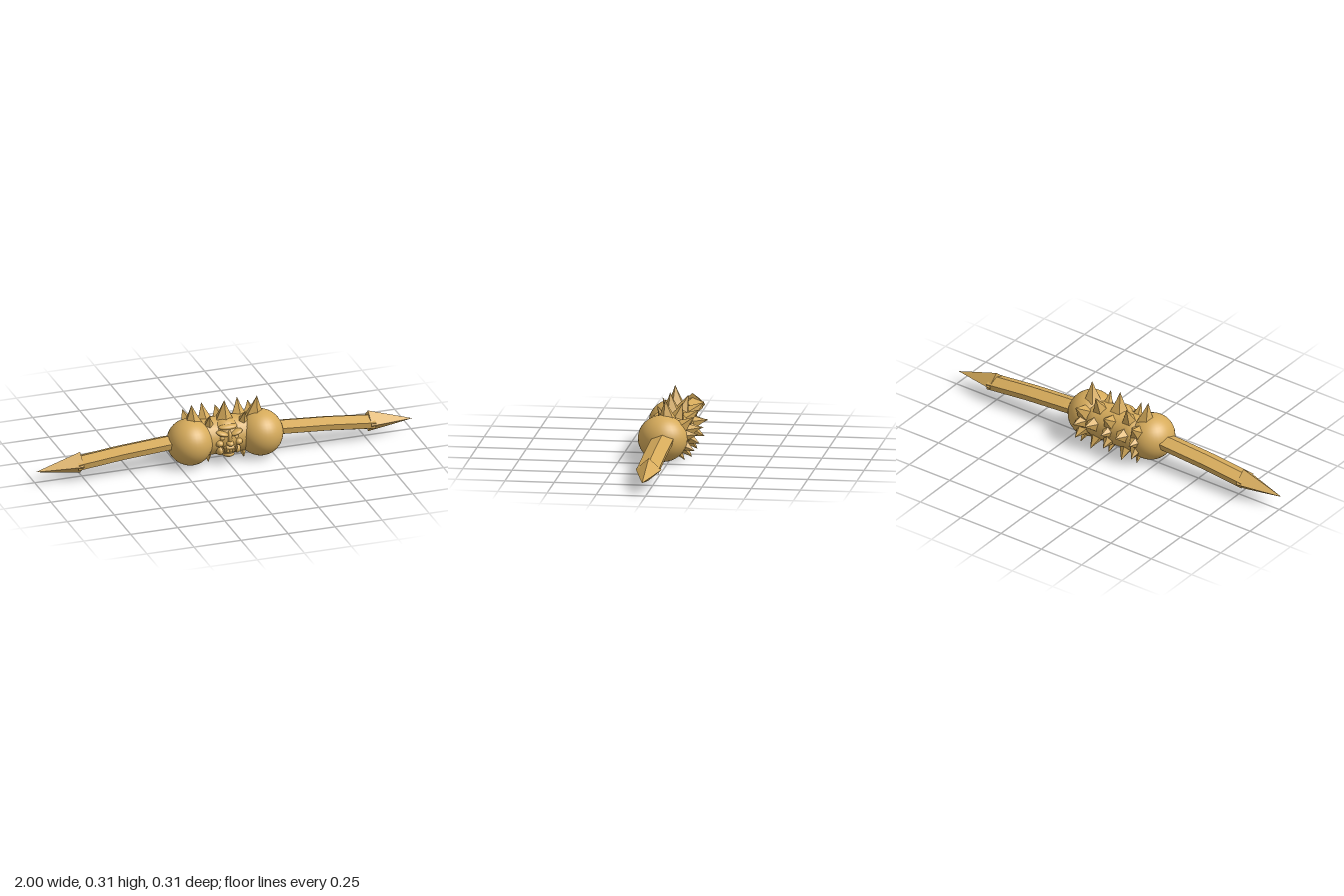
import * as THREE from 'three';

const gold = new THREE.MeshStandardMaterial({ color: 0xd6ab5b });
gold.name = 'ochre gold';

// Flat facets without touching the material
function facet(geometry) {
  const g = geometry.index ? geometry.toNonIndexed() : geometry;
  g.computeVertexNormals();
  return g;
}

function add(parent, name, geometry, x = 0, y = 0, z = 0) {
  const mesh = new THREE.Mesh(geometry, gold);
  mesh.name = name;
  mesh.position.set(x, y, z);
  parent.add(mesh);
  return mesh;
}

// Joins cross-sections along x; each is { x, y, s } scaling one (y, z) outline
function loft(outline, sections) {
  const pos = [], index = [], n = outline.length;
  for (const { x, y, s } of sections)
    for (const [py, pz] of outline) pos.push(x, y + py * s, pz * s);
  for (let i = 0; i < sections.length - 1; i++)
    for (let j = 0; j < n; j++) {
      const a = i * n + j, b = i * n + (j + 1) % n;
      index.push(a, b, b + n, a, b + n, a + n);
    }
  for (let j = 1; j < n - 1; j++) index.push(0, j + 1, j);
  const g = new THREE.BufferGeometry();
  g.setAttribute('position', new THREE.Float32BufferAttribute(pos, 3));
  g.setIndex(index);
  return facet(g);
}

function ball(parent, name, x, y, z, rx, ry, rz, tilt = 0) {
  const m = add(parent, name, new THREE.SphereGeometry(1, 32, 22), x, y, z);
  m.scale.set(rx, ry, rz);
  m.rotation.z = tilt;
  return m;
}

// Drooping ridged shaft with a four-sided spearhead
function makeArm() {
  const arm = new THREE.Group();
  const ridge = [[0.034, 0], [0.012, 0.056], [-0.02, 0.05], [-0.034, 0.02],
    [-0.034, -0.02], [-0.02, -0.05], [0.012, -0.056]];
  add(arm, 'shaft', loft(ridge, [
    { x: 0.24, y: 0.133, s: 0.95 }, { x: 0.32, y: 0.129, s: 1 },
    { x: 0.55, y: 0.113, s: 1 }, { x: 0.79, y: 0.088, s: 1 }]));
  const diamond = [[0.057, 0], [0, 0.066], [-0.057, 0], [0, -0.066]];
  add(arm, 'spearhead', loft(diamond, [
    { x: 0.765, y: 0.091, s: 1 }, { x: 0.88, y: 0.081, s: 0.52 }, { x: 1, y: 0.071, s: 0.002 }]));
  return arm;
}

// Concave thorn from the body axis out to its tip
function thorn(parent, x, y, z, radius) {
  const tip = new THREE.Vector3(x, y, z);
  const root = new THREE.Vector3(x * 0.9, 0.125, 0.005).lerp(tip, 0.45);
  const dir = tip.clone().sub(root), h = dir.length();
  const profile = [[1, 0], [0.72, 0.25], [0.36, 0.6], [0, 1]]
    .map(([r, t]) => new THREE.Vector2(r * radius, t * h));
  const m = add(parent, 'thorn', facet(new THREE.LatheGeometry(profile, 5)), root.x, root.y, root.z);
  m.quaternion.setFromUnitVectors(new THREE.Vector3(0, 1, 0), dir.normalize());
}

export function createModel() {
  const model = new THREE.Group();
  model.name = 'thornedBody';

  // Core between the shoulders
  const core = add(model, 'core', new THREE.CapsuleGeometry(0.096, 0.2, 8, 24), 0, 0.128, 0.003);
  core.rotation.z = Math.PI / 2;

  // Shoulder balls and arms
  for (const s of [1, -1]) {
    ball(model, s > 0 ? 'leftShoulder' : 'rightShoulder', s * 0.187, 0.123, 0.031, 0.116, 0.118, 0.125);
    const arm = makeArm();
    arm.name = s > 0 ? 'leftArm' : 'rightArm';
    arm.position.z = 0.018;
    arm.rotation.y = s > 0 ? 0 : Math.PI;
    model.add(arm);
  }

  // Rows of thorns over the top, back and underside: [y, z, radius]
  const thorns = new THREE.Group();
  thorns.name = 'thorns';
  model.add(thorns);
  const evenRow = [[0.32, 0.02, 0.05], [0.235, -0.125, 0.048], [0.145, -0.148, 0.042],
    [0.06, -0.13, 0.045], [0.012, -0.08, 0.036]];
  const oddRow = [[0.27, 0.072, 0.034], [0.29, -0.06, 0.045], [0.165, -0.155, 0.048],
    [0.012, -0.105, 0.044], [0.005, 0.05, 0.036]];
  for (const x of [-0.174, 0, 0.174])
    for (const [y, z, r] of evenRow) thorn(thorns, x, y, z, r);
  for (const x of [-0.095, 0.095])
    for (const [y, z, r] of oddRow) thorn(thorns, x, y, z, r);
  thorn(thorns, 0, 0.012, 0.03, 0.036);

  // Scowling face
  const face = new THREE.Group();
  face.name = 'face';
  model.add(face);
  ball(face, 'skull', 0, 0.132, 0.03, 0.085, 0.098, 0.083);
  ball(face, 'muzzle', 0, 0.087, 0.075, 0.048, 0.035, 0.048);
  ball(face, 'chin', 0, 0.058, 0.075, 0.034, 0.02, 0.042);
  ball(face, 'noseBridge', 0, 0.148, 0.1, 0.013, 0.04, 0.024);
  ball(face, 'noseTip', 0, 0.122, 0.113, 0.019, 0.014, 0.024);
  ball(face, 'foreheadRidge', 0, 0.198, 0.075, 0.05, 0.014, 0.025);
  for (const s of [1, -1]) {
    ball(face, 'brow', s * 0.036, 0.173, 0.098, 0.034, 0.013, 0.026, s * 0.3);
    ball(face, 'eye', s * 0.034, 0.148, 0.094, 0.016, 0.011, 0.014);
    ball(face, 'cheek', s * 0.05, 0.12, 0.088, 0.022, 0.019, 0.03);
    ball(face, 'jaw', s * 0.045, 0.078, 0.076, 0.02, 0.026, 0.035);
    const fang = add(face, 'fang', facet(new THREE.ConeGeometry(0.009, 0.035, 5)), s * 0.03, 0.088, 0.12);
    fang.rotation.x = Math.PI;
  }
  for (let i = -1; i <= 1; i++)
    add(face, 'tooth', new THREE.BoxGeometry(0.012, 0.016, 0.012), i * 0.015, 0.087, 0.121);
  return model;
}
